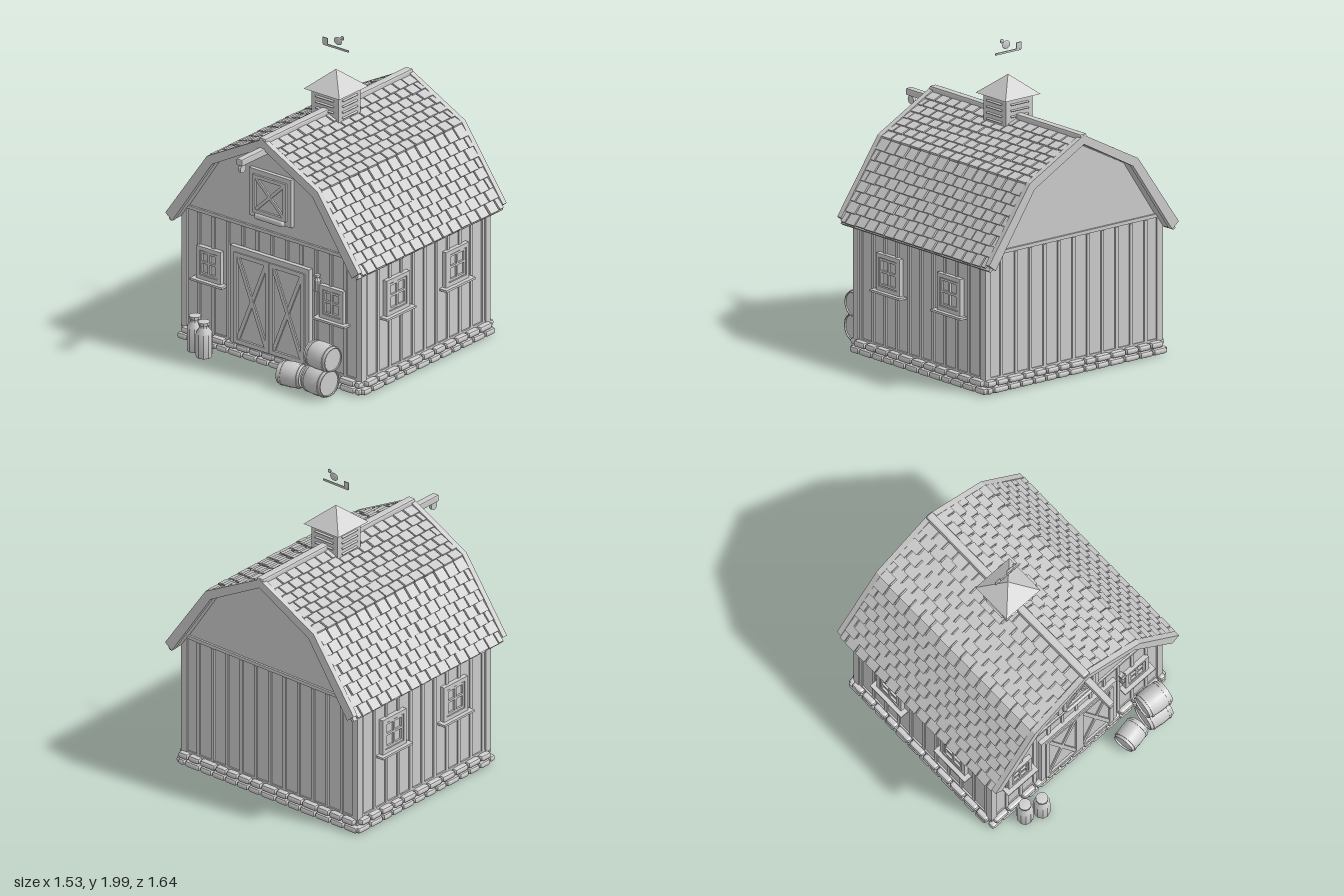
import * as THREE from 'three';
import { mergeGeometries, toCreasedNormals } from 'three/addons/utils/BufferGeometryUtils.js';
import { RoundedBoxGeometry } from 'three/addons/geometries/RoundedBoxGeometry.js';

const flat = new THREE.MeshStandardMaterial({ color: 0xcccccc, flatShading: true });
const smooth = new THREE.MeshStandardMaterial({ color: 0xcccccc });

let seed = 7;
const rand = () => (seed = (seed * 16807) % 2147483647) / 2147483647;
const place = (g, x, y, z, rx = 0, ry = 0, rz = 0) => {
  const m = new THREE.Matrix4().makeRotationFromEuler(new THREE.Euler(rx, ry, rz)).setPosition(x, y, z);
  return (g.index ? g.toNonIndexed() : g).applyMatrix4(m);
};
const box = (w, h, d, x, y, z, rz = 0) => place(new THREE.BoxGeometry(w, h, d), x, y, z, 0, 0, rz);
const cyl = (rt, rb, h, n, x, y, z, rz = 0) => place(new THREE.CylinderGeometry(rt, rb, h, n), x, y, z, 0, 0, rz);
function mesh(name, geos, material = flat) {
  const m = new THREE.Mesh(mergeGeometries(geos), material);
  m.name = name;
  return m;
}
// Flat strip between two points in the xy plane
const strip = (x0, y0, x1, y1, w, d, z) =>
  box(Math.hypot(x1 - x0, y1 - y0), w, d, (x0 + x1) / 2, (y0 + y1) / 2, z, Math.atan2(y1 - y0, x1 - x0));
// Rectangular border, centred on x, y
const border = (w, h, t, d, x, y, z) => [
  box(w, t, d, x, y + (h - t) / 2, z), box(w, t, d, x, y - (h - t) / 2, z),
  box(t, h - 2 * t, d, x - (w - t) / 2, y, z), box(t, h - 2 * t, d, x + (w - t) / 2, y, z)];
// Half profile mirrored into a closed polygon and extruded from z0 to z1
function extrude(points, z0, z1) {
  const g = new THREE.ExtrudeGeometry(new THREE.Shape(points.map(p => new THREE.Vector2(...p))), { depth: z1 - z0, bevelEnabled: false });
  return place(g, 0, 0, z0);
}
const mirror = half => [...half, ...half.slice().reverse().filter(p => p[0] > 0).map(([x, y]) => [-x, y])];
const gambrel = (outer, inner, z0, z1) => extrude([...mirror(outer), ...mirror(inner).reverse()], z0, z1);
const lathe = (pts, n) => toCreasedNormals(new THREE.LatheGeometry(pts.map(p => new THREE.Vector2(...p)), n), 0.6);

const FRONT = 0.5, BACK = -0.715, MID = -0.108, SIDE = 0.69;

function windowUnit(w, h, name) {
  const g = [box(w - 0.02, h - 0.02, 0.012, 0, 0, 0.004), ...border(w, h, 0.026, 0.03, 0, 0, 0.012),
    ...border(w - 0.06, h - 0.06, 0.014, 0.022, 0, 0, 0.012),
    box(0.014, h - 0.06, 0.022, 0, 0, 0.012), box(w - 0.06, 0.014, 0.022, 0, 0.005, 0.012),
    box(w + 0.06, 0.014, 0.06, 0, -h / 2 - 0.007, 0.024)];
  return mesh(name, g);
}

// Overlapping courses, each tile tipped so its lower edge stands proud
function shingles() {
  const g = [];
  const slope = (x0, y0, x1, y1, rows) => {
    const len = Math.hypot(x1 - x0, y1 - y0), a = Math.atan2(y1 - y0, x1 - x0), step = len / rows;
    for (let r = 0; r < rows; r++) {
      const t = (r + 0.5) / rows, n = 15, w = 1.36 / n;
      for (let i = 0; i <= n; i++) {
        const half = r % 2 ? 0.5 : 0;
        const lo = Math.max(0, i - half), hi = Math.min(n, i + 1 - half);
        if (hi - lo < 0.1) continue;
        const lift = 0.006 + rand() * 0.004, stretch = 1.08 + rand() * 0.14;
        const s = new THREE.BoxGeometry(step * stretch, 0.014, (hi - lo) * w - 0.006 - rand() * 0.008);
        const p = place(s, 0, 0, 0, 0, 0, a + 0.12 + rand() * 0.04);
        for (const sx of [1, -1]) {
          const q = p.clone();
          if (sx < 0) q.rotateY(Math.PI);
          q.translate(sx * (x0 + (x1 - x0) * t - Math.sin(a) * lift), y0 + (y1 - y0) * t + Math.cos(a) * lift, -0.79 + (lo + hi) / 2 * w);
          g.push(q);
        }
      }
    }
  };
  slope(0.02, 1.505, 0.428, 1.295, 7);
  slope(0.428, 1.288, 0.745, 0.825, 8);
  return mesh('shingles', g);
}

function foundation() {
  const g = [box(1.4, 0.1, 1.23, 0, 0.055, MID)];
  const stone = (len, x, y, z, ry) => g.push(place(new RoundedBoxGeometry(len, 0.042, 0.05, 1, 0.016), x, y, z, 0, ry, 0));
  for (let row = 0; row < 2; row++) {
    const y = 0.03 + row * 0.044;
    const run = (length, put) => {
      for (let u = -length / 2 + (row ? 0 : -0.03); u < length / 2 - 0.02;) {
        const len = Math.min(0.085 + rand() * 0.04, length / 2 + 0.02 - u);
        put(u + len / 2, len - 0.006);
        u += len;
      }
    };
    for (const s of [1, -1]) {
      run(1.39, (u, len) => stone(len, u, y, MID + s * 0.625, 0));
      run(1.22, (u, len) => stone(len, s * 0.712, y, MID + u, Math.PI / 2));
    }
  }
  return mesh('foundation', g);
}

function battens() {
  const g = [];
  for (let i = -5; i <= 5; i++) {
    for (const z of [FRONT, BACK]) {
      if (z === FRONT && Math.abs(i) <= 2) g.push(box(0.022, 0.13, 0.02, i * 0.115, 0.805, z));
      else g.push(box(0.022, 0.78, 0.02, i * 0.115, 0.48, z));
    }
    for (const s of [1, -1]) g.push(box(0.02, 0.78, 0.022, s * SIDE, 0.48, MID + i * 0.112));
  }
  for (const s of [1, -1]) for (const z of [FRONT, BACK]) g.push(box(0.045, 0.78, 0.045, s * (SIDE - 0.005), 0.48, z - Math.sign(z) * 0.01));
  for (const z of [FRONT, BACK]) g.push(box(1.39, 0.022, 0.026, 0, 0.885, z));
  return mesh('battens', g);
}

// Door leaf with a border and crossed braces
const leaf = (w, h, t, x, y, z) => {
  const a = w / 2 - t, b = h / 2 - t;
  return [box(w, h, 0.02, x, y, z), ...border(w, h, t, 0.036, x, y, z + 0.006),
    strip(x - a, y - b, x + a, y + b, t * 0.9, 0.028, z + 0.005), strip(x - a, y + b, x + a, y - b, t * 0.9, 0.03, z + 0.005)];
};

function cupola() {
  const group = new THREE.Group();
  group.name = 'cupola';
  const body = [box(0.21, 0.18, 0.21, 0, 1.56, MID)];
  for (let i = 0; i < 4; i++) {
    const y = 1.495 + i * 0.038;
    for (const s of [1, -1]) {
      body.push(place(new THREE.BoxGeometry(0.14, 0.006, 0.02), 0, y, MID + s * 0.107, s * 0.4));
      body.push(place(new THREE.BoxGeometry(0.02, 0.006, 0.14), s * 0.107, y, MID, 0, 0, -s * 0.4));
    }
  }
  const roof = place(new THREE.ConeGeometry(0.14 * Math.SQRT2, 0.122, 4), 0, 1.708, MID, 0, Math.PI / 4);
  group.add(mesh('cupolaBody', body), mesh('cupolaRoof', [roof]));
  // Weathervane floating above the cupola
  const bird = place(new THREE.SphereGeometry(1, 12, 8).scale(0.032, 0.026, 0.007), 0.015, 1.957, MID);
  const head = place(new THREE.SphereGeometry(0.014, 8, 6).scale(1, 1, 0.5), 0.05, 1.985, MID);
  group.add(mesh('weathervane', [box(0.2, 0.012, 0.008, 0, 1.91, MID), box(0.038, 0.045, 0.006, -0.085, 1.932, MID), bird, head]));
  return group;
}

function barrel(x, y, z, r, len, turn) {
  const h = len / 2, pts = [[0, -h + 0.01], [r * 0.82, -h + 0.01], [r * 0.82, -h], [r * 0.88, -h], [r * 0.97, -h / 2], [r, 0], [r * 0.97, h / 2], [r * 0.88, h], [r * 0.82, h], [r * 0.82, h - 0.01], [0, h - 0.01]];
  const g = [place(lathe(pts, 16), 0, 0, 0)];
  for (const t of [-0.7, 0.7]) {
    const hoop = r * (1 - 0.12 * t * t) + 0.004;
    g.push(cyl(hoop, hoop, 0.014, 16, 0, t * h, 0));
  }
  const m = mesh('barrel', g, smooth);
  m.rotation.set(0, turn, Math.PI / 2);
  m.position.set(x, y, z);
  return m;
}

function milkCan(x, z) {
  const body = lathe([[0, 0.008], [0.05, 0.008], [0.052, 0.02], [0.052, 0.165], [0.03, 0.2], [0.03, 0.216], [0.039, 0.22], [0.039, 0.238], [0, 0.243]], 10);
  const m = mesh('milkCan', [place(body, 0, 0, 0)], smooth);
  m.position.set(x, 0, z);
  return m;
}

export function createModel() {
  const barn = new THREE.Group();
  barn.name = 'barn';
  barn.add(foundation(), battens(), shingles(), cupola());

  // Walls with the gambrel gables
  barn.add(mesh('walls', [extrude(mirror([[SIDE, 0.08], [SIDE, 0.86], [0.405, 1.275], [0, 1.485]]), BACK, FRONT)]));

  // Roof deck, rake boards, eaves and ridge cap
  const outer = [[0.737, 0.825], [0.422, 1.288], [0, 1.508]], inner = [[0.71, 0.81], [0.405, 1.265], [0, 1.475]];
  barn.add(mesh('roofDeck', [gambrel(outer, inner, -0.8, 0.58)]));
  const rakeOut = [[0.757, 0.852], [0.432, 1.312], [0, 1.538]], rakeIn = [[0.705, 0.81], [0.393, 1.268], [0, 1.48]];
  barn.add(mesh('rakeBoards', [gambrel(rakeOut, rakeIn, 0.568, 0.605), gambrel(rakeOut, rakeIn, -0.82, -0.785)]));
  barn.add(mesh('eaveBoards', [1, -1].map(s => box(0.03, 0.02, 1.39, s * 0.728, 0.817, MID, s * -0.9))));
  barn.add(mesh('ridgeCap', [place(new RoundedBoxGeometry(0.055, 0.045, 1.42, 1, 0.012), 0, 1.523, MID)]));

  // Hoist beam with pulley
  barn.add(mesh('hoistBeam', [place(new RoundedBoxGeometry(0.046, 0.046, 0.34, 1, 0.008), 0, 1.458, 0.655),
    cyl(0.027, 0.027, 0.018, 14, 0, 1.41, 0.795, Math.PI / 2), box(0.01, 0.05, 0.012, 0, 1.43, 0.795)]));

  // Main double door
  barn.add(mesh('mainDoor', [...border(0.62, 0.645, 0.035, 0.04, 0, 0.412, FRONT + 0.01),
    ...leaf(0.276, 0.6, 0.028, -0.139, 0.4, FRONT + 0.014), ...leaf(0.276, 0.6, 0.028, 0.139, 0.4, FRONT + 0.014)]));

  // Loft door with a rounded sill
  barn.add(mesh('loftDoor', [...border(0.33, 0.315, 0.032, 0.035, 0, 1.128, FRONT + 0.008),
    ...leaf(0.26, 0.25, 0.022, 0, 1.128, FRONT + 0.014),
    place(new RoundedBoxGeometry(0.23, 0.042, 0.05, 2, 0.018), 0, 0.983, FRONT + 0.025)]));

  // Windows on the front and both sides
  for (const s of [1, -1]) {
    const front = windowUnit(0.19, 0.215, 'frontWindow');
    front.position.set(s * 0.482, 0.553, FRONT + 0.003);
    barn.add(front);
    for (const z of [0.175, -0.395]) {
      const side = windowUnit(0.22, 0.235, 'sideWindow');
      side.position.set(s * (SIDE + 0.003), 0.572, z);
      side.rotation.y = s * Math.PI / 2;
      barn.add(side);
    }
  }

  // Lantern close to the wall on a short bracket
  barn.add(mesh('lantern', [box(0.03, 0.012, 0.035, 0.36, 0.708, FRONT + 0.015), box(0.012, 0.03, 0.012, 0.367, 0.7, FRONT + 0.018),
    cyl(0.012, 0.024, 0.016, 8, 0.367, 0.69, FRONT + 0.02), cyl(0.02, 0.02, 0.07, 8, 0.367, 0.65, FRONT + 0.02),
    cyl(0.023, 0.023, 0.01, 8, 0.367, 0.614, FRONT + 0.02)]));

  // Barrels and milk cans
  barn.add(barrel(0.5, 0.103, 0.66, 0.097, 0.17, -0.1), barrel(0.51, 0.258, 0.645, 0.088, 0.18, -0.08), barrel(0.298, 0.09, 0.675, 0.08, 0.16, 0.18));
  barn.add(milkCan(-0.52, 0.61), milkCan(-0.417, 0.65));
  return barn;
}
